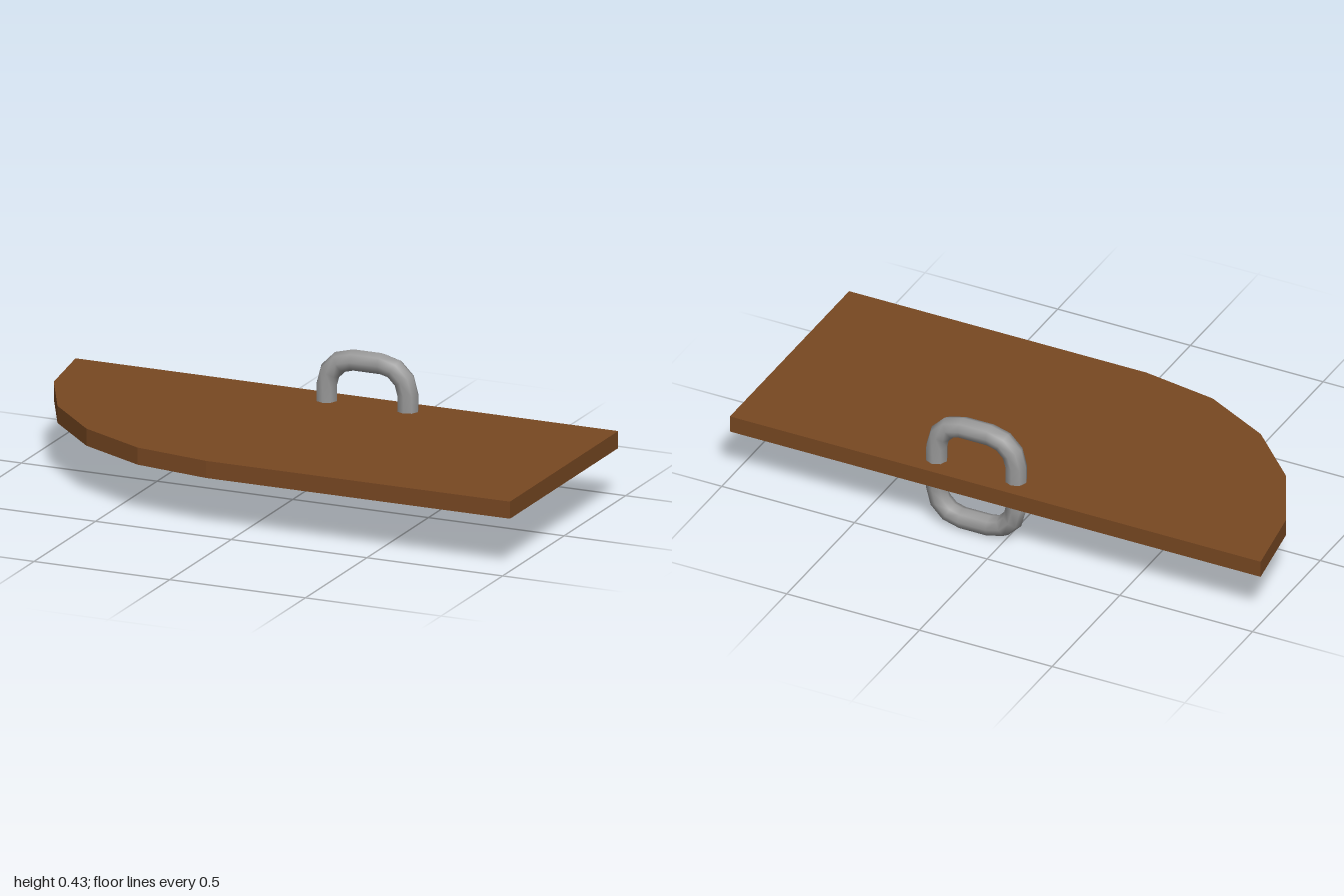
import * as THREE from 'three';

// Closed tube following a rounded rectangle in the xy plane
function roundedLink(halfX, halfY, bend, tube, sides, steps) {
  const positions = [], index = [];
  const rings = 4 * (steps + 1);
  for (let corner = 0; corner < 4; corner++) {
    const cx = (corner === 0 || corner === 3 ? 1 : -1) * (halfX - bend - tube);
    const cy = (corner < 2 ? 1 : -1) * (halfY - bend - tube);
    for (let s = 0; s <= steps; s++) {
      const a = (corner + s / steps) * Math.PI / 2;
      for (let k = 0; k < sides; k++) {
        const b = k / sides * Math.PI * 2;
        const d = bend + tube * Math.cos(b);
        positions.push(cx + d * Math.cos(a), cy + d * Math.sin(a), tube * Math.sin(b));
      }
    }
  }
  for (let i = 0; i < rings; i++) {
    const n = (i + 1) % rings;
    for (let k = 0; k < sides; k++) {
      const m = (k + 1) % sides;
      const p = i * sides + k, q = n * sides + k, r = n * sides + m, t = i * sides + m;
      index.push(p, q, r, p, r, t);
    }
  }
  const geometry = new THREE.BufferGeometry();
  geometry.setAttribute('position', new THREE.Float32BufferAttribute(positions, 3));
  geometry.setIndex(index);
  geometry.computeVertexNormals();
  return geometry;
}

export function createModel() {
  const model = new THREE.Group();
  model.name = 'boardWithHandle';

  const wood = new THREE.MeshStandardMaterial({ color: 0x784822 });
  wood.name = 'brown wood';
  const metal = new THREE.MeshStandardMaterial({ color: 0x999999 });
  metal.name = 'grey metal';

  // Board outline: straight back and left edges, faceted quarter circle at the front right
  const depth = 0.88, half = depth / 2, arcSteps = 5;
  const outline = new THREE.Shape();
  outline.moveTo(1, half);
  for (let i = 0; i <= arcSteps; i++) {
    const a = i / arcSteps * Math.PI / 2;
    outline.lineTo(-1 + depth - depth * Math.cos(a), half - depth * Math.sin(a));
  }
  outline.lineTo(1, -half);
  outline.closePath();

  const boardGeometry = new THREE.ExtrudeGeometry(outline, { depth: 0.06, bevelEnabled: false });
  boardGeometry.rotateX(-Math.PI / 2);
  const board = new THREE.Mesh(boardGeometry, wood);
  board.name = 'board';
  board.position.y = 0.184;
  model.add(board);

  // Ring handle passing through the board near its back edge
  const handle = new THREE.Mesh(roundedLink(0.187, 0.217, 0.0975, 0.0375, 8, 3), metal);
  handle.name = 'ringHandle';
  handle.position.set(0.112, 0.217, -0.359);
  model.add(handle);

  return model;
}
